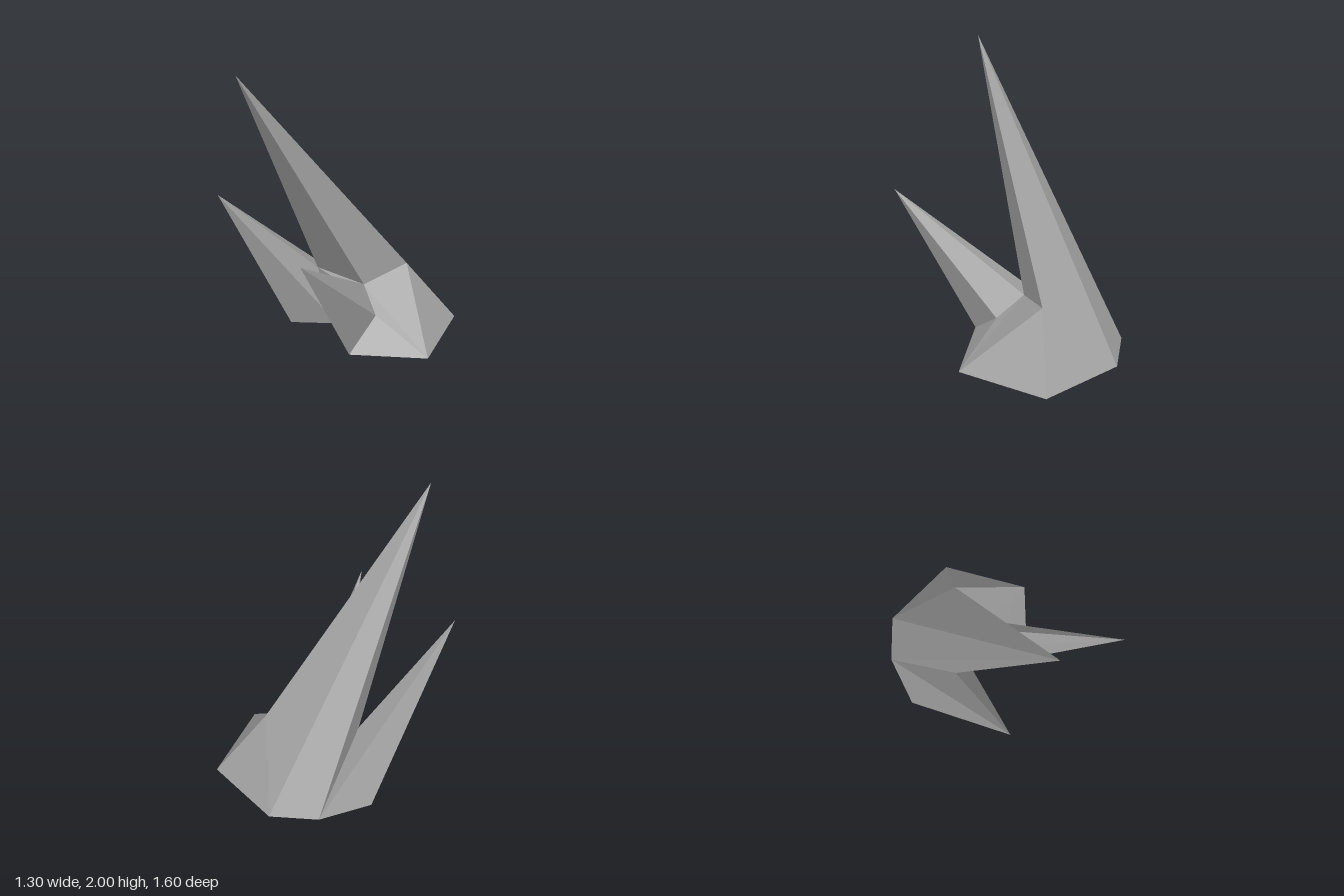
import * as THREE from 'three';

const RIM = 0.012, WALL = 0.035;

// Corner points of the faceted rock
const P = {
  // foot ring
  D: [-0.65, RIM, -0.21], E: [-0.38, RIM, 0.19], F: [-0.14, RIM, -0.05], G: [0.25, RIM, 0.18],
  C: [0.65, RIM, -0.19], B: [0.36, RIM, -0.78], A: [-0.25, RIM, -0.8], N: [-0.505, RIM, -0.57],
  // shoulders between the spikes
  H: [0.15, 0.475, -0.47], I: [0.05, 0.375, -0.14], J: [-0.05, 0.375, -0.035],
  K: [-0.33, 0.41, -0.03], M: [0.245, 0.225, -0.075],
  // spike tips
  T: [-0.2, 2, 0.72], L: [-0.54, 1.1, 0.67], R: [0.5, 0.97, 0.8],
};
for (const k in P) P[k] = new THREE.Vector3(...P[k]);

// Triangles of each part, as corner letters
const PARTS = {
  tallSpike: 'ANT HAT IHT KIT NKT',
  rightSpike: 'DEL EFL NDL KNL FKL',
  leftSpike: 'FGR GMR MIR IJR JFR',
  rockBody: 'GCM CBH BAH CHI CIM KFJ KJI',
};
const RING = 'DEFGCBAN';
const TIPS = 'TLR';

function mesh(name, triangles, material) {
  const geometry = new THREE.BufferGeometry().setFromPoints(triangles.flat());
  geometry.computeVertexNormals();
  const m = new THREE.Mesh(geometry, material);
  m.name = name;
  return m;
}

// Inner wall corners: tips sink into their spike, the rest move against the mean normal
function innerPoints(faces) {
  const inner = {};
  for (const k in P) {
    const touching = faces.filter((f) => f.includes(k));
    if (TIPS.includes(k)) {
      const ring = [...new Set(touching.join(''))].filter((c) => c !== k);
      const centre = new THREE.Vector3();
      ring.forEach((c) => centre.addScaledVector(P[c], 1 / ring.length));
      inner[k] = P[k].clone().lerp(centre, 0.15);
    } else {
      const normal = new THREE.Vector3(), n = new THREE.Vector3();
      for (const f of touching) normal.add(new THREE.Triangle(P[f[0]], P[f[1]], P[f[2]]).getNormal(n));
      inner[k] = P[k].clone().addScaledVector(normal.normalize(), -WALL);
      if (RING.includes(k)) inner[k].y = 0;
    }
  }
  return inner;
}

export function createModel() {
  const group = new THREE.Group();
  group.name = 'spikedRock';
  const stone = new THREE.MeshStandardMaterial({ color: 0xa0a0a0, flatShading: true });
  stone.name = 'grey stone';

  // Outer surface
  for (const [name, list] of Object.entries(PARTS)) {
    group.add(mesh(name, list.split(' ').map((f) => [...f].map((c) => P[c])), stone));
  }

  // Hollow inside, open at the bottom
  const faces = Object.values(PARTS).join(' ').split(' ');
  const inner = innerPoints(faces);
  group.add(mesh('innerWall', faces.map((f) => [...f].reverse().map((c) => inner[c])), stone));

  // Narrow rim joining the two walls at the foot
  const rim = [];
  [...RING].forEach((p, i) => {
    const q = RING[(i + 1) % RING.length];
    rim.push([inner[p], inner[q], P[q]], [inner[p], P[q], P[p]]);
  });
  group.add(mesh('footRim', rim, stone));
  return group;
}
